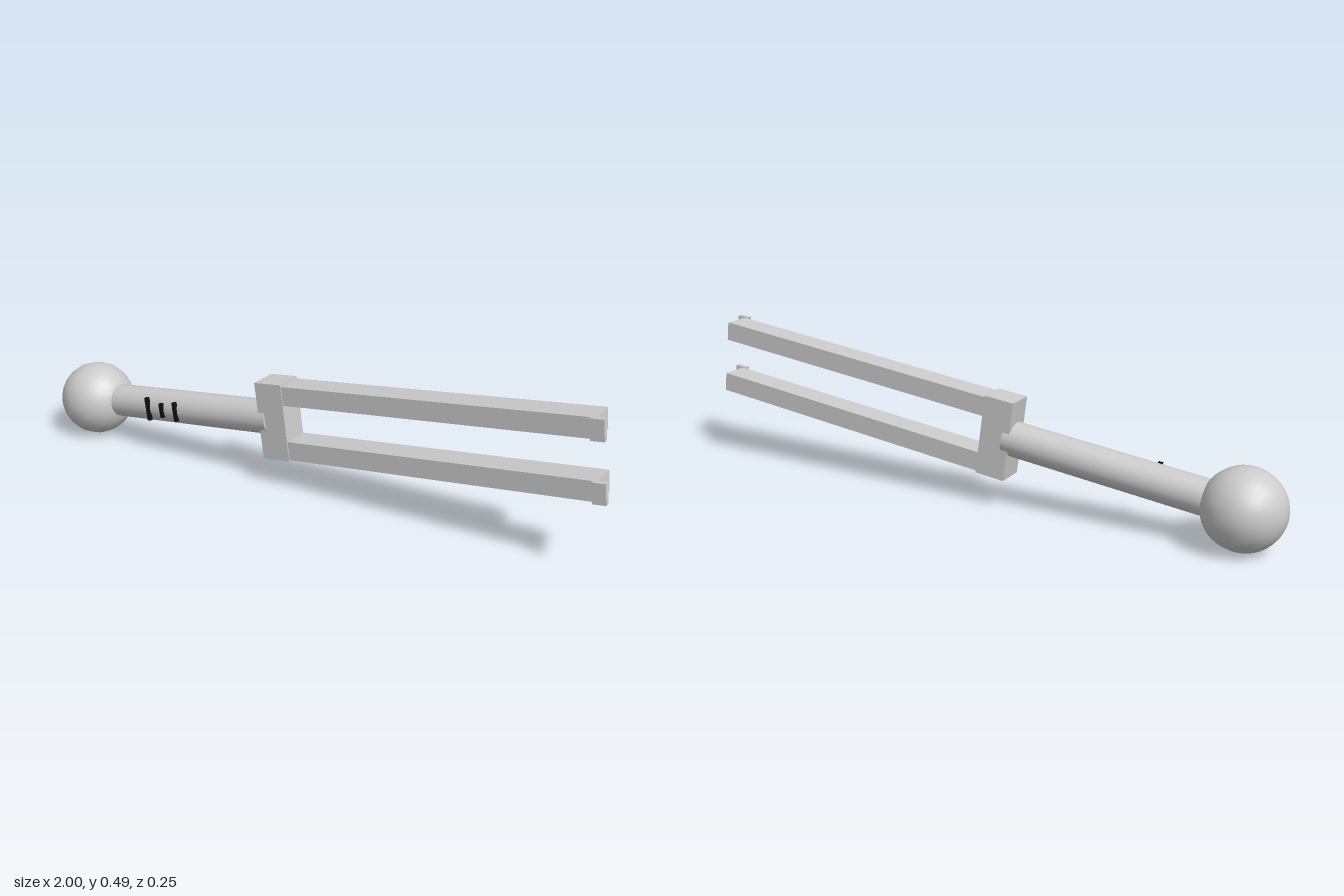
import * as THREE from 'three';

const grey = new THREE.MeshStandardMaterial({ color: 0xcccccc });
const black = new THREE.MeshStandardMaterial({ color: 0x111111 });

function add(parent, name, geometry, x, y, z, material = grey) {
  const mesh = new THREE.Mesh(geometry, material);
  mesh.name = name;
  mesh.position.set(x, y, z);
  parent.add(mesh);
  return mesh;
}

export function createModel() {
  const model = new THREE.Group();
  model.name = 'tuningFork';

  // Everything is laid out along local x from the ball centre, then tilted upwards
  const fork = new THREE.Group();
  fork.name = 'fork';
  fork.position.set(-0.875, 0.128, 0);
  fork.rotation.z = THREE.MathUtils.degToRad(7.35);
  model.add(fork);

  // Ball end, poles on the handle axis
  add(fork, 'ball', new THREE.SphereGeometry(0.126, 20, 20).rotateZ(-Math.PI / 2), 0, 0, 0);

  // Round handle from inside the ball into the yoke
  const handleStart = 0.06, handleEnd = 0.76;
  add(fork, 'handle',
    new THREE.CylinderGeometry(0.056, 0.056, handleEnd - handleStart, 20).rotateZ(-Math.PI / 2),
    (handleStart + handleEnd) / 2, 0, 0);

  // Dark marks on the front of the handle
  [[0.282, 0.08], [0.341, 0.05], [0.399, 0.066]].forEach(([u, height], i) => {
    add(fork, `handleMark${i + 1}`, new THREE.BoxGeometry(0.013, height, 0.012), u, 0.002, 0.056, black);
  });

  // Yoke block joining handle and tines
  add(fork, 'yoke', new THREE.BoxGeometry(0.099, 0.257, 0.095), 0.786, 0.001, 0);

  // Two tines, each with a small tab on the front of its tip
  const tineStart = 0.8, tineEnd = 1.847;
  for (const [side, s] of [['upper', 1], ['lower', -1]]) {
    add(fork, `${side}Tine`, new THREE.BoxGeometry(tineEnd - tineStart, 0.062, 0.088),
      (tineStart + tineEnd) / 2, s * 0.092, 0);
    add(fork, `${side}TipTab`, new THREE.BoxGeometry(0.04, 0.064, 0.018),
      1.854, s * 0.092 + 0.002, 0.052);
  }

  return model;
}
